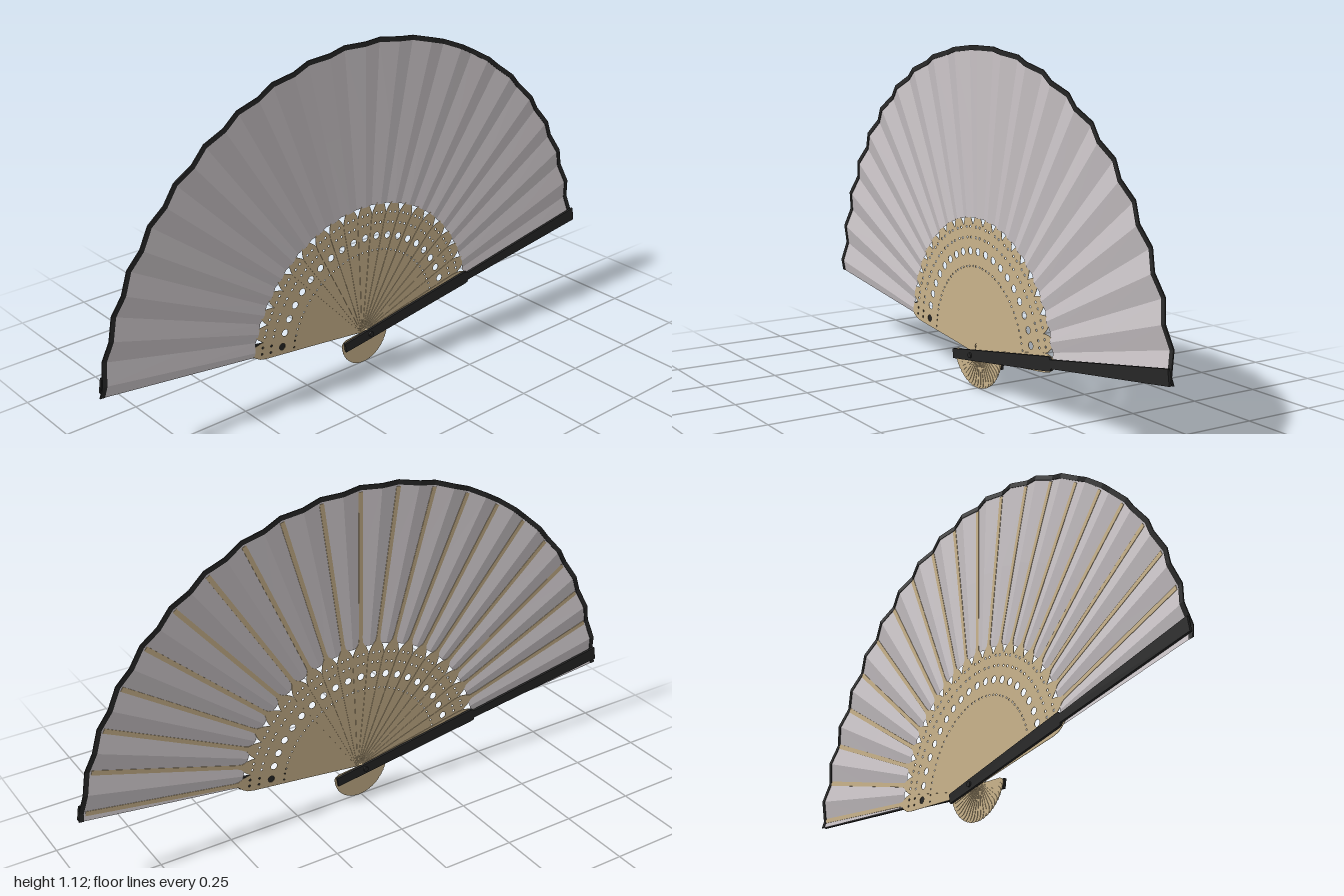
import * as THREE from 'three';

const COUNT = 21, PIVOT_Y = 0.115, DEG = Math.PI / 180;
const FIRST = 8.9, STEP = (180 - 2 * FIRST) / (COUNT - 1);   // degrees
const SPREAD = 0.016;                                        // z offset of the outermost sticks

const mat = (name, color, side = THREE.FrontSide) => {
  const m = new THREE.MeshStandardMaterial({ color, side });
  m.name = name;
  return m;
};

// z of the fan's gentle spiral: front on +x, back on -x
const layerZ = (i) => SPREAD * (1 - (2 * i) / (COUNT - 1));

// Symmetric outline along +x from [distance, half width] pairs
function outline(pairs) {
  const upper = pairs.map(([u, w]) => new THREE.Vector2(u, w));
  const lower = pairs.map(([u, w]) => new THREE.Vector2(u, -w)).reverse();
  return new THREE.Shape([...lower, ...upper].reverse());
}

function plate(shape, depth) {
  const g = new THREE.ExtrudeGeometry(shape, { depth, bevelEnabled: false, curveSegments: 6 });
  g.translate(0, 0, -depth / 2);
  return g;
}

// Pleated band: sweeps a [radius, dz] profile round the fan; crests lie on the sticks
function pleatedBand(profile, closed) {
  const stops = [[7.5, (7.5 - FIRST) / STEP]];
  for (let k = 0; k <= 2 * (COUNT - 1); k++) stops.push([FIRST + (k * STEP) / 2, k / 2]);
  stops.push([173.4, (173.4 - FIRST) / STEP]);
  const n = profile.length, pos = [], index = [];
  for (const [deg, t] of stops) {
    const fold = 2 * Math.abs(t - Math.round(t));            // 0 on a stick, 1 between sticks
    for (const [r, dz] of profile) {
      pos.push(r * Math.cos(deg * DEG), r * Math.sin(deg * DEG), layerZ(t) + 0.004 - 0.017 * r * fold + dz);
    }
  }
  const sides = closed ? n : n - 1;
  for (let s = 0; s < stops.length - 1; s++) {
    for (let j = 0; j < sides; j++) {
      const a = s * n + j, b = s * n + ((j + 1) % n), c = a + n, d = b + n;
      index.push(a, b, d, a, d, c);
    }
  }
  const g = new THREE.BufferGeometry();
  g.setAttribute('position', new THREE.Float32BufferAttribute(pos, 3));
  g.setIndex(index);
  const flat = g.toNonIndexed();
  flat.computeVertexNormals();
  return flat;
}

export function createModel() {
  const bamboo = mat('bamboo', 0xc8b28a);
  const cloth = mat('pale cloth', 0xc8c2c5, THREE.DoubleSide);
  const black = mat('black lacquer', 0x262626);
  const binding = mat('black binding', 0x262626, THREE.DoubleSide);

  const model = new THREE.Group();
  model.name = 'foldingFan';
  const fan = new THREE.Group();
  fan.name = 'fan';
  fan.position.y = PIVOT_Y;
  model.add(fan);
  const add = (name, geometry, material) => {
    const m = new THREE.Mesh(geometry, material);
    m.name = name;
    fan.add(m);
    return m;
  };

  // Sticks: rounded tail, widening pierced blade, thin rib behind the cloth
  const stickShape = outline([
    [-0.115, 0.006], [-0.108, 0.014], [-0.095, 0.018], [0, 0.013], [0.2, 0.021],
    [0.4, 0.0305], [0.425, 0.029], [0.445, 0.021], [0.462, 0.009], [0.48, 0.007], [0.985, 0.008],
  ]);
  const pierce = (u, v, r) => {
    const hole = new THREE.Path();
    hole.absarc(u, v, r, 0, Math.PI * 2, true);
    stickShape.holes.push(hole);
  };
  pierce(0.34, 0, 0.012);
  for (const v of [-0.011, 0.011]) {
    pierce(0.29, v, 0.003);
    pierce(0.385, v, 0.004);
    pierce(0.42, v, 0.004);
  }
  const stickGeometry = plate(stickShape, 0.0014);
  for (let i = 0; i < COUNT; i++) {
    const stick = add('stick', stickGeometry, bamboo);
    stick.rotation.z = (FIRST + i * STEP) * DEG;
    stick.position.z = layerZ(i);
  }

  // Pleated cloth leaf and its dark rim
  add('leaf', pleatedBand([[0.45, 0], [0.72, 0], [0.995, 0]], false), cloth);
  add('rimBinding', pleatedBand([[0.99, 0.002], [1.006, 0.002], [1.006, -0.002], [0.99, -0.002]], true), binding);

  // Guards: one in front on the left, one behind on the right
  const guardGeometry = plate(outline([
    [-0.11, 0.016], [0, 0.018], [0.44, 0.023], [0.452, 0.021], [0.455, 0.014], [1.005, 0.024],
  ]), 0.008);
  for (const [name, deg, z] of [['frontGuard', FIRST, 0.026], ['backGuard', 180 - FIRST, -0.026]]) {
    const guard = add(name, guardGeometry, black);
    guard.rotation.z = deg * DEG;
    guard.position.z = z;
  }

  // Pivot pin
  const pin = add('rivet', new THREE.CylinderGeometry(0.009, 0.009, 0.07, 16), black);
  pin.rotation.x = Math.PI / 2;

  return model;
}
